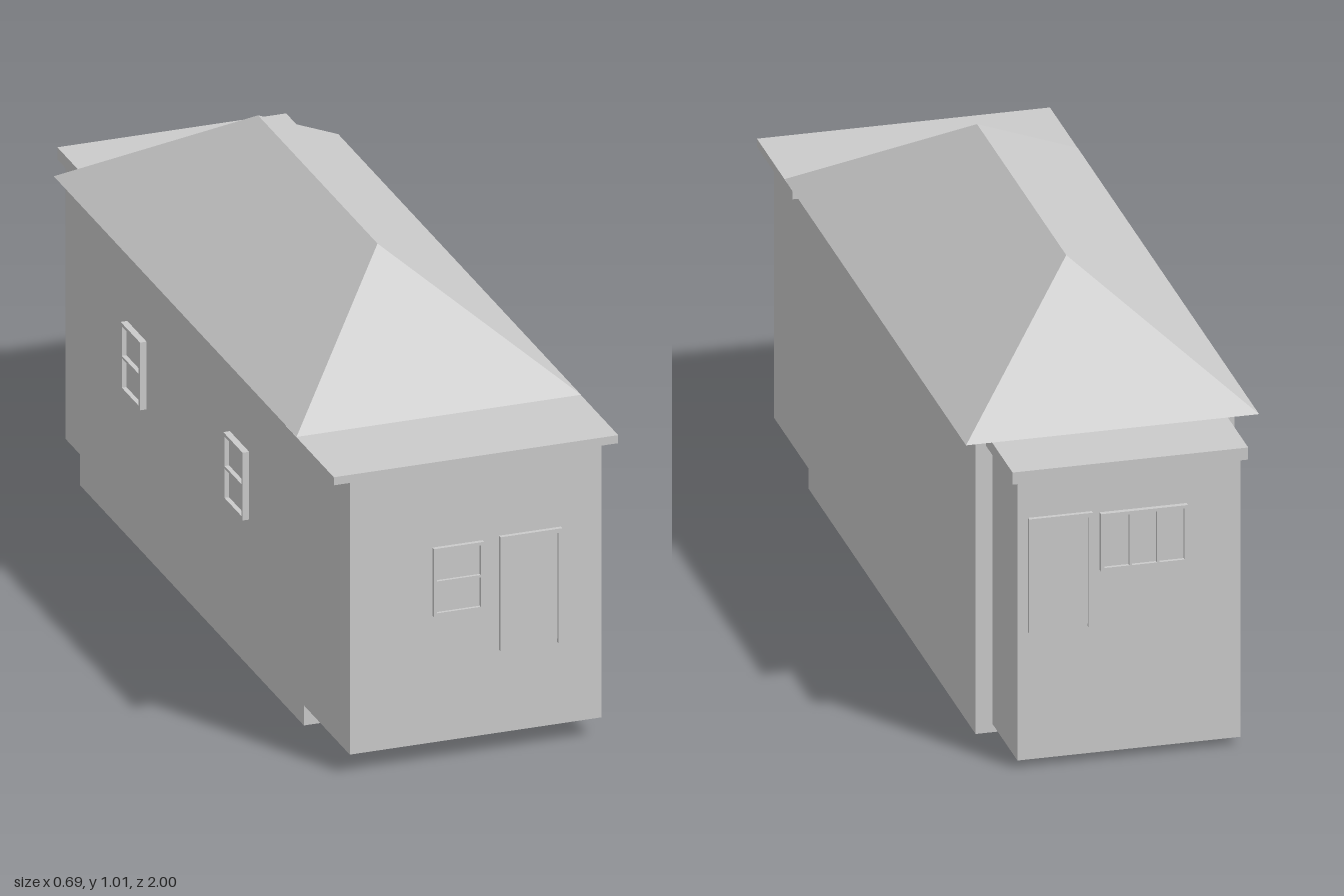
import * as THREE from 'three';

const material = new THREE.MeshStandardMaterial({ color: 0xcccccc, flatShading: true });

function addMesh(parent, name, geometry) {
  const mesh = new THREE.Mesh(geometry, material);
  mesh.name = name;
  parent.add(mesh);
  return mesh;
}

// Box given by its limits on each axis
function addBox(parent, name, [x0, x1], [y0, y1], [z0, z1]) {
  const mesh = addMesh(parent, name, new THREE.BoxGeometry(x1 - x0, y1 - y0, z1 - z0));
  mesh.position.set((x0 + x1) / 2, (y0 + y1) / 2, (z0 + z1) / 2);
  return mesh;
}

function rectangle(Type, x0, y0, x1, y1) {
  return new Type([[x0, y0], [x1, y0], [x1, y1], [x0, y1]].map(p => new THREE.Vector2(...p)));
}

// Framed window, centred on its own origin, facing +z
function makeWindow(name, width, height, depth, columns, rows) {
  const group = new THREE.Group();
  group.name = name;
  const rim = 0.008;
  const bar = 0.006;
  const shape = rectangle(THREE.Shape, -width / 2, -height / 2, width / 2, height / 2);
  const paneW = (width - 2 * rim - (columns - 1) * bar) / columns;
  const paneH = (height - 2 * rim - (rows - 1) * bar) / rows;
  for (let i = 0; i < columns; i++) {
    for (let j = 0; j < rows; j++) {
      const x = -width / 2 + rim + i * (paneW + bar);
      const y = -height / 2 + rim + j * (paneH + bar);
      shape.holes.push(rectangle(THREE.Path, x, y, x + paneW, y + paneH));
    }
  }
  addMesh(group, 'windowFrame', new THREE.ExtrudeGeometry(shape, { depth, bevelEnabled: false }));
  addBox(group, 'windowPane', [-width / 2 + 0.004, width / 2 - 0.004],
    [-height / 2 + 0.004, height / 2 - 0.004], [0, depth * 0.3]);
  return group;
}

// Door with jambs reaching just below the panel, standing on its origin, facing +z
function makeDoor(name, width, height, depth) {
  const group = new THREE.Group();
  group.name = name;
  const w = width / 2;
  const jamb = 0.01;
  const frame = new THREE.Shape([
    [-w, 0], [-w + jamb, 0], [-w + jamb, height - jamb], [w - jamb, height - jamb],
    [w - jamb, 0], [w, 0], [w, height], [-w, height],
  ].map(p => new THREE.Vector2(...p)));
  addMesh(group, 'doorFrame', new THREE.ExtrudeGeometry(frame, { depth, bevelEnabled: false }));
  addBox(group, 'doorPanel', [-w + jamb, w - jamb], [0.008, height - jamb], [0, depth * 0.4]);
  return group;
}

// Hip roof: four eave corners and two ridge ends, with a closed underside
function hipRoofGeometry(halfWidth, eaveY, ridgeY, eaveZ, ridgeZ) {
  const a = [-halfWidth, eaveY, eaveZ[0]], b = [halfWidth, eaveY, eaveZ[0]];
  const c = [halfWidth, eaveY, eaveZ[1]], d = [-halfWidth, eaveY, eaveZ[1]];
  const front = [0, ridgeY, ridgeZ[0]], back = [0, ridgeY, ridgeZ[1]];
  const triangles = [
    a, b, front, c, d, back,
    b, c, back, b, back, front,
    d, a, front, d, front, back,
    a, d, c, a, c, b,
  ];
  const geometry = new THREE.BufferGeometry();
  geometry.setAttribute('position', new THREE.Float32BufferAttribute(triangles.flat(), 3));
  geometry.computeVertexNormals();
  return geometry;
}

export function createModel() {
  const house = new THREE.Group();
  house.name = 'house';

  // Walls: main block, raised front room and narrower back room
  addBox(house, 'mainWalls', [-0.305, 0.305], [0, 0.745], [-0.77, 0.69]);
  addBox(house, 'frontRoom', [-0.305, 0.305], [0.05, 0.725], [0.69, 0.99]);
  addBox(house, 'backRoom', [-0.26, 0.265], [0.02, 0.71], [-0.987, -0.77]);

  // Roofs
  addMesh(house, 'hipRoof', hipRoofGeometry(0.345, 0.746, 1.01, [0.75, -0.835], [0.35, -0.43]));
  addBox(house, 'frontFlatRoof', [-0.345, 0.345], [0.725, 0.745], [0.68, 0.993]);
  addBox(house, 'backFlatRoof', [-0.275, 0.28], [0.71, 0.74], [-1, -0.77]);

  // Front openings
  const frontWindow = makeWindow('frontWindow', 0.122, 0.168, 0.01, 1, 2);
  frontWindow.position.set(-0.044, 0.449, 0.99);
  const frontDoor = makeDoor('frontDoor', 0.15, 0.283, 0.01);
  frontDoor.position.set(0.132, 0.255, 0.99);

  // Back openings
  const backWindow = makeWindow('backWindow', 0.205, 0.142, 0.012, 3, 1);
  backWindow.position.set(-0.031, 0.542, -0.987);
  const backDoor = makeDoor('backDoor', 0.15, 0.283, 0.01);
  backDoor.position.set(0.165, 0.335, -0.987);
  backWindow.rotation.y = backDoor.rotation.y = Math.PI;
  house.add(frontWindow, frontDoor, backWindow, backDoor);

  // Side windows
  for (const z of [-0.4, 0.27]) {
    const sideWindow = makeWindow('sideWindow', 0.126, 0.168, 0.016, 1, 2);
    sideWindow.position.set(-0.305, 0.449, z);
    sideWindow.rotation.y = -Math.PI / 2;
    house.add(sideWindow);
  }
  return house;
}
